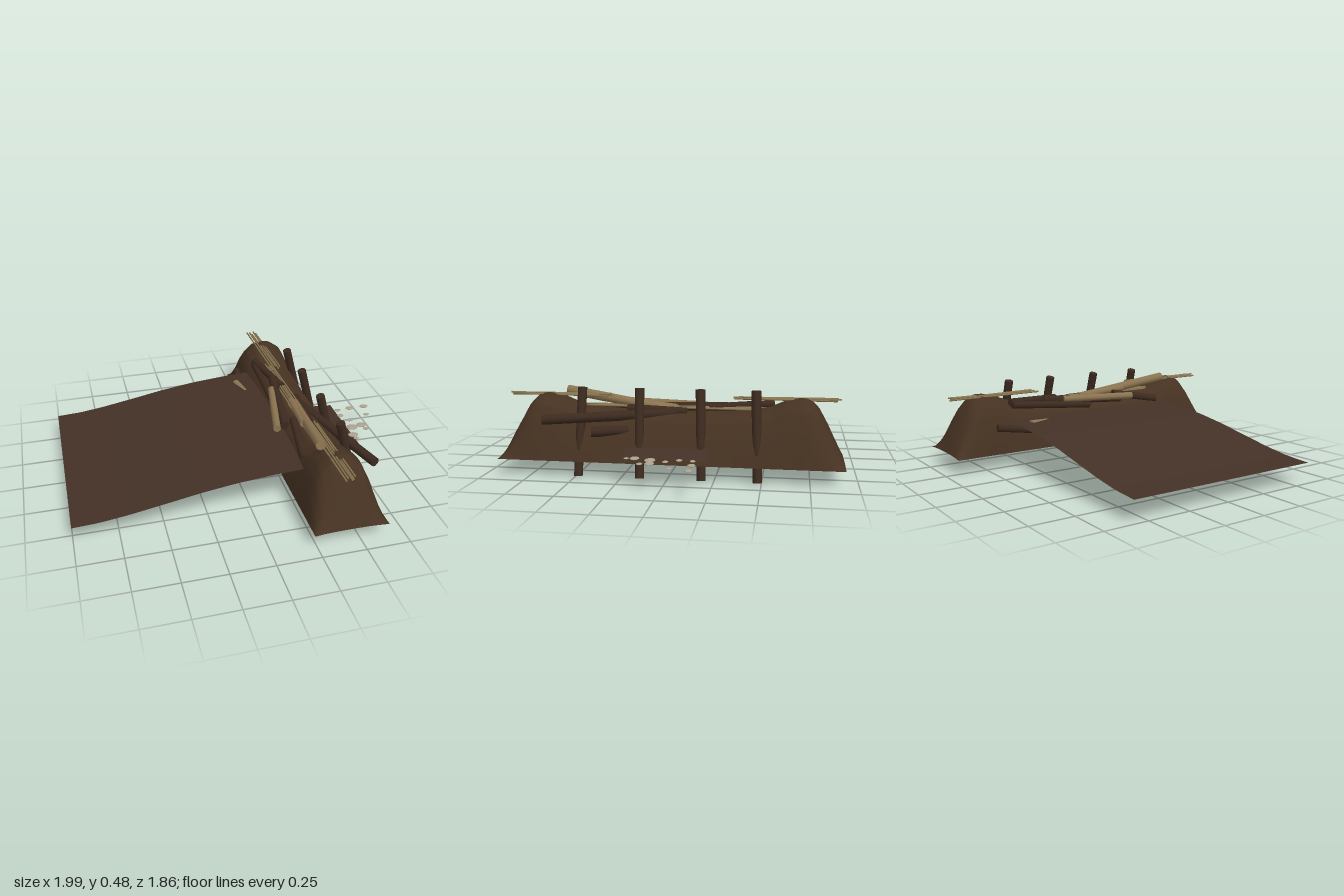
import * as THREE from 'three';

const mat = (name, color, side = THREE.FrontSide) => {
  const m = new THREE.MeshStandardMaterial({ color, side });
  m.name = name;
  return m;
};

// Linear interpolation through a short list of [position, value] points
function sample(points, t) {
  for (let i = 1; i < points.length; i++) {
    const [a, va] = points[i - 1], [b, vb] = points[i];
    if (t <= b) return va + (vb - va) * Math.max(0, (t - a) / (b - a));
  }
  return points[points.length - 1][1];
}

// Surface over a rectangle in x and z, with its height given by a rule
function heightSheet(x0, x1, z0, z1, nx, nz, height) {
  const g = new THREE.PlaneGeometry(x1 - x0, z1 - z0, nx, nz);
  g.rotateX(-Math.PI / 2).translate((x0 + x1) / 2, 0, (z0 + z1) / 2);
  const p = g.attributes.position;
  for (let i = 0; i < p.count; i++) p.setY(i, height(p.getX(i), p.getZ(i)));
  g.computeVertexNormals();
  return g;
}

export function createModel() {
  const group = new THREE.Group();
  const mud = mat('mud', 0x463222, THREE.DoubleSide);
  const water = mat('murky water', 0x443127, THREE.DoubleSide);
  const bark = mat('dark bark', 0x3c2a1f);
  const peeled = mat('peeled wood', 0x8b7350);
  const reed = mat('dry reed', 0x8a7752);
  const foam = mat('foam', 0xaca18e);

  const add = (name, geometry, material) => {
    const m = new THREE.Mesh(geometry, material);
    m.name = name;
    group.add(m);
    return m;
  };

  // Round pole between two points
  const pole = (name, a, b, r0, r1, material, sides = 10) => {
    const A = new THREE.Vector3(...a), B = new THREE.Vector3(...b);
    const d = B.clone().sub(A);
    const m = add(name, new THREE.CylinderGeometry(r1, r0, d.length(), sides), material);
    m.position.copy(A).add(B).multiplyScalar(0.5);
    m.quaternion.setFromUnitVectors(new THREE.Vector3(0, 1, 0), d.normalize());
    return m;
  };

  // Earth bank: open mound with high ends and a dipped crest
  const across = [[0.23, 0], [0.25, 0.34], [0.28, 0.66], [0.31, 0.82], [0.36, 0.96],
    [0.42, 1], [0.48, 0.97], [0.54, 0.84], [0.59, 0.53], [0.62, 0.28], [0.65, 0]];
  const along = [[0, 0.25], [0.3, 0.258], [0.45, 0.27], [0.54, 0.29], [0.62, 0.325],
    [0.7, 0.34], [0.75, 0.33], [0.79, 0.29], [0.84, 0.2], [0.93, 0.01]];
  add('mudBank', heightSheet(0.23, 0.65, -0.93, 0.93, 42, 124,
    (x, z) => 0.09 + sample(across, x) * sample(along, Math.abs(z))), mud);

  // Pond surface swelling up toward the bank
  const pondRise = [[-1, 0.122], [-0.85, 0.13], [-0.7, 0.15], [-0.5, 0.185], [-0.3, 0.222],
    [-0.1, 0.25], [0.1, 0.268], [0.32, 0.28]];
  add('pond', heightSheet(-1, 0.32, -0.585, 0.585, 33, 1, (x) => sample(pondRise, x)), water);

  // Spillway flaring out on the downstream side
  const spill = heightSheet(0.58, 0.76, -0.24, 0.235, 6, 1, (x) => 0.145 + 0.035 * (0.76 - x) / 0.18);
  const sp = spill.attributes.position;
  for (let i = 0; i < sp.count; i++) sp.setZ(i, sp.getZ(i) * (0.84 + 0.16 * (sp.getX(i) - 0.58) / 0.18));
  add('spillway', spill, water);

  // Leaning stakes
  [[0.48, 0.48], [0.145, 0.165], [-0.185, -0.165], [-0.48, -0.46]].forEach(([zb, zt]) =>
    pole('stake', [0.64, 0.01, zb], [0.515, 0.475, zt], 0.024, 0.026, bark));

  // Dark logs
  [
    [[0.43, 0.335, -0.08], [0.655, 0.315, 0.67], 0.028],
    [[0.32, 0.375, -0.55], [0.4, 0.36, -0.2], 0.024],
    [[0.315, 0.36, -0.54], [0.31, 0.31, 0], 0.022],
    [[0.37, 0.36, -0.3], [0.285, 0.335, 0.22], 0.027],
    [[0.23, 0.25, -0.68], [0.2, 0.17, -0.15], 0.022],
    [[0.3, 0.3, 0.52], [0.34, 0.36, 0.2], 0.024],
    [[0.22, 0.18, 0.45], [0.28, 0.24, 0], 0.024],
    [[0.45, 0.34, -0.08], [0.43, 0.35, 0.25], 0.025],
    [[0.6, 0.245, 0.415], [0.55, 0.25, 0.22], 0.028],
  ].forEach(([a, b, r]) => pole('darkLog', a, b, r, r * 0.95, bark));

  // Peeled logs
  [
    [[0.22, 0.355, 0.27], [0.325, 0.36, -0.18], 0.022],
    [[0.355, 0.435, 0.61], [0.42, 0.345, 0], 0.028],
    [[0.37, 0.385, 0.3], [0.4, 0.355, -0.02], 0.022],
    [[0.175, 0.262, -0.49], [0.28, 0.235, -0.08], 0.022],
    [[0.22, 0.23, 0.02], [0.27, 0.25, 0.36], 0.02],
  ].forEach(([a, b, r]) => pole('peeledLog', a, b, r, r * 0.95, peeled));

  // Bundles of thin reeds along the crest
  const bundles = [[-0.91, -0.33, 0.415], [0.33, 0.93, 0.415], [-0.68, 0.1, 0.357], [0, 0.55, 0.36]];
  bundles.forEach(([z0, z1, y], k) => {
    for (let i = 0; i < 5; i++) {
      const x = 0.37 + i * 0.014, s = ((i * 2 + k) % 5) * 0.008;
      pole('reed', [x, y + (i % 2) * 0.007, z0 + s], [x + 0.008, y + (i % 3) * 0.004, z1 - s],
        0.005, 0.005, reed, 6);
    }
  });

  // Flecks of foam below the spillway
  const flecks = [[0.78, -0.16, 0.02], [0.865, -0.165, 0.028], [0.965, -0.165, 0.028],
    [0.94, -0.065, 0.02], [0.772, -0.09, 0.022], [0.81, -0.025, 0.021], [0.857, 0.048, 0.033],
    [0.79, 0.058, 0.038], [0.87, 0.096, 0.021], [0.762, 0.143, 0.033], [0.767, 0.185, 0.018]];
  flecks.forEach(([x, z, r]) => {
    const m = add('foamFleck', new THREE.SphereGeometry(r, 14, 8), foam);
    m.scale.set(1, 0.2, 0.75);
    m.position.set(x, 0.15, z);
  });

  return group;
}
